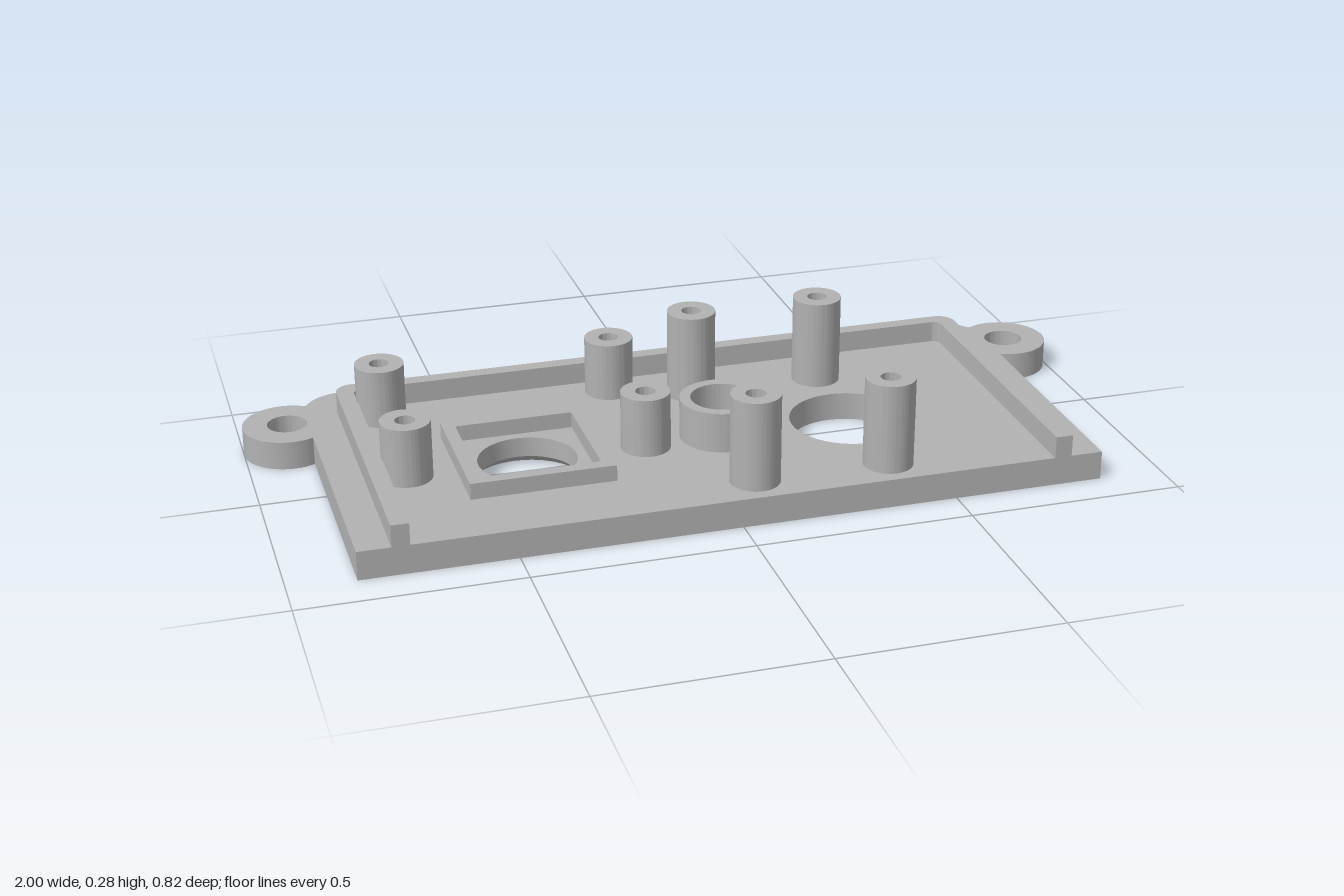
import * as THREE from 'three';
import { toCreasedNormals } from 'three/addons/utils/BufferGeometryUtils.js';

const BASE = 0.067; // plate thickness, also the floor for raised parts

// Adds a round hole to a shape; shapes are drawn as (x, -z).
function addHole(shape, x, z, r) {
  const path = new THREE.Path();
  path.absarc(x, -z, r, 0, Math.PI * 2, true);
  shape.holes.push(path);
}

// Extrudes a plan shape upwards from y0 to y1.
function extrudeUp(shape, y0, y1) {
  const geo = new THREE.ExtrudeGeometry(shape, { depth: y1 - y0, bevelEnabled: false, curveSegments: 40 });
  geo.rotateX(-Math.PI / 2).translate(0, y0, 0);
  return toCreasedNormals(geo, 0.6);
}

function tube(x, z, rOuter, rInner, top) {
  const shape = new THREE.Shape().absarc(x, -z, rOuter, 0, Math.PI * 2, false);
  addHole(shape, x, z, rInner);
  return extrudeUp(shape, BASE, top);
}

export function createModel() {
  const group = new THREE.Group();
  const grey = new THREE.MeshStandardMaterial({ color: 0xb2b2b2 });
  grey.name = 'grey plastic';
  const add = (name, geo) => {
    const mesh = new THREE.Mesh(geo, grey);
    mesh.name = name;
    group.add(mesh);
  };

  // Base plate with rounded back corners and a round lug on each side
  const lug = { x: 0.897, y: 0.267, r: 0.103 };
  const corner = { x: 0.75, y: 0.31, r: 0.1 };
  const lugStart = Math.atan2(-0.092, -0.047);
  const lugEnd = Math.atan2(0.086, -0.0567);
  const cornerStart = Math.atan2(0.043, 0.0903);
  const plate = new THREE.Shape();
  plate.moveTo(-0.85, -0.41);
  plate.lineTo(0.85, -0.41);
  plate.absarc(lug.x, lug.y, lug.r, lugStart, lugEnd, false);
  plate.absarc(corner.x, corner.y, corner.r, cornerStart, Math.PI / 2, false);
  plate.absarc(-corner.x, corner.y, corner.r, Math.PI / 2, Math.PI - cornerStart, false);
  plate.absarc(-lug.x, lug.y, lug.r, Math.PI - lugEnd, Math.PI - lugStart, false);
  plate.closePath();
  for (const side of [-1, 1]) addHole(plate, side * lug.x, -lug.y, 0.046);
  addHole(plate, -0.405, 0.075, 0.135);
  addHole(plate, 0.052, 0.075, 0.072);
  addHole(plate, 0.365, 0.075, 0.141);
  add('basePlate', extrudeUp(plate, 0, BASE));

  // Countersunk wall of the hole inside the square frame
  const sink = new THREE.LatheGeometry([
    [0.135, BASE], [0.113, BASE], [0.113, 0.02], [0.135, 0],
  ].map(([r, y]) => new THREE.Vector2(r, y)), 64);
  sink.translate(-0.405, 0, 0.075);
  add('countersunkHole', toCreasedNormals(sink, 0.6));

  // U-shaped rim, open at the front
  const rim = new THREE.Shape();
  rim.moveTo(0.735, -0.41);
  rim.lineTo(0.775, -0.41);
  rim.absarc(0.735, 0.295, 0.04, 0, Math.PI / 2, false);
  rim.absarc(-0.735, 0.295, 0.04, Math.PI / 2, Math.PI, false);
  rim.lineTo(-0.775, -0.41);
  rim.lineTo(-0.735, -0.41);
  rim.absarc(-0.715, 0.28, 0.02, Math.PI, Math.PI / 2, true);
  rim.absarc(0.715, 0.28, 0.02, Math.PI / 2, 0, true);
  rim.closePath();
  add('rim', extrudeUp(rim, BASE, 0.118));

  // Square frame
  const square = (Type, h) => new Type([[-h, -h], [h, -h], [h, h], [-h, h]]
    .map(([x, y]) => new THREE.Vector2(x - 0.405, y - 0.075)));
  const frame = square(THREE.Shape, 0.165);
  frame.holes.push(square(THREE.Path, 0.136));
  add('squareFrame', extrudeUp(frame, BASE, 0.105));

  // Collar around the middle hole
  add('collar', tube(0.052, 0.075, 0.097, 0.072, 0.162));

  // Hollow screw posts
  for (const x of [0.052, 0.365])
    for (const z of [-0.17, 0.325]) add('tallPost', tube(x, z, 0.057, 0.023, 0.278));
  for (const x of [-0.68, -0.132])
    for (const z of [-0.239, 0.087]) add('shortPost', tube(x, z, 0.057, 0.023, 0.205));

  return group;
}
